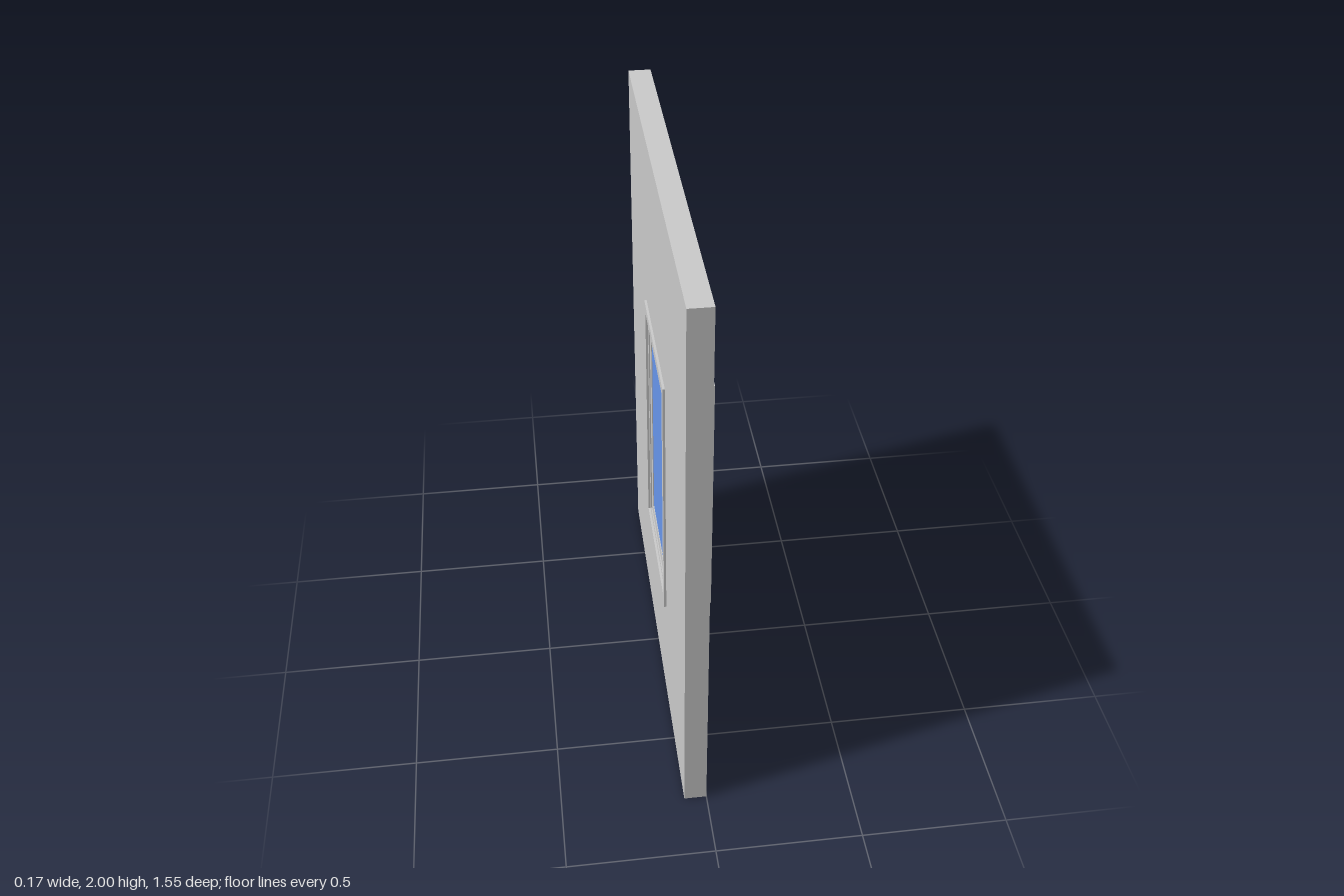
import * as THREE from 'three';

const CY = 0.907; // height of the window centre
const CZ = 0.001;

export function createModel() {
  const model = new THREE.Group();
  const grey = new THREE.MeshStandardMaterial({ color: 0xcccccc });
  const blue = new THREE.MeshStandardMaterial({ color: 0x6897ec });

  function add(name, geometry, material = grey, parent = model) {
    const mesh = new THREE.Mesh(geometry, material);
    mesh.name = name;
    parent.add(mesh);
    return mesh;
  }

  // Rectangle in the (-z, y) plane
  function rect(target, z0, z1, y0, y1) {
    target.moveTo(-z1, y0).lineTo(-z0, y0).lineTo(-z0, y1).lineTo(-z1, y1).closePath();
    return target;
  }

  // Plate with a rectangular hole, extruded along x from x0 to x1
  function plate(name, [z0, z1, y0, y1], [hz, hy], x0, x1) {
    const shape = rect(new THREE.Shape(), z0, z1, y0, y1);
    shape.holes.push(rect(new THREE.Path(), CZ - hz, CZ + hz, CY - hy, CY + hy));
    const geometry = new THREE.ExtrudeGeometry(shape, { depth: x1 - x0, bevelEnabled: false });
    geometry.rotateY(Math.PI / 2).translate(x0, 0, 0);
    return add(name, geometry);
  }

  // Window ring given by outer and inner half sizes
  const ring = (name, [oz, oy], inner, x0, x1) =>
    plate(name, [CZ - oz, CZ + oz, CY - oy, CY + oy], inner, x0, x1);

  function box(name, x0, x1, y0, y1, z0, z1, material, parent) {
    const geometry = new THREE.BoxGeometry(x1 - x0, y1 - y0, z1 - z0);
    geometry.translate((x0 + x1) / 2, (y0 + y1) / 2, (z0 + z1) / 2);
    return add(name, geometry, material, parent);
  }

  const trim = [0.267, 0.475], lining = [0.257, 0.464], opening = [0.238, 0.441];
  const frame = [0.216, 0.42], pane = [0.173, 0.377];

  // Wall, and the lining that runs through it
  plate('wall', [-0.773, 0.773, 0, 2], lining, -0.077, 0);
  ring('lining', lining, opening, -0.077, 0.079);

  // Trim on both sides
  ring('outerTrim', trim, opening, -0.085, -0.077);
  ring('innerTrim', trim, opening, 0.079, 0.083);

  // Fixed frame, opening sash and glass
  ring('windowFrame', opening, frame, -0.077, -0.042);
  ring('sash', frame, pane, -0.073, -0.038);
  box('glass', -0.07, -0.041, CY - pane[1], CY + pane[1], CZ - pane[0], CZ + pane[0], blue);

  // Handle: base plate, stalk and lever
  const handle = new THREE.Group();
  handle.name = 'handle';
  model.add(handle);
  box('handleBase', -0.038, -0.034, 0.88, 0.912, -0.206, -0.194, grey, handle);
  box('handleStalk', -0.034, -0.012, 0.9, 0.911, -0.205, -0.195, grey, handle);
  box('handleLever', -0.012, -0.002, 0.84, 0.912, -0.206, -0.194, grey, handle);

  return model;
}
